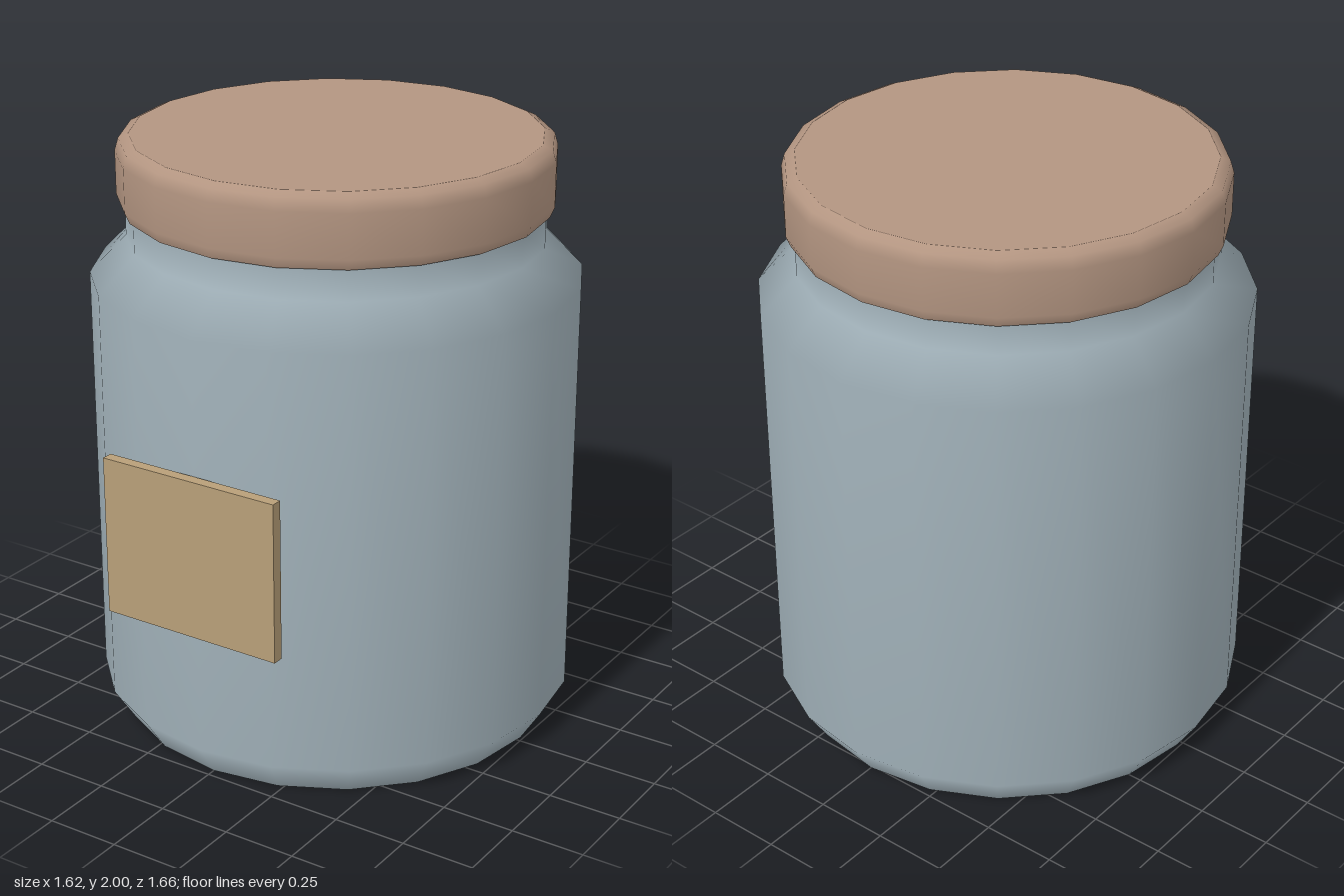
import * as THREE from 'three';

const SIDES = 20;

function material(name, color) {
  const m = new THREE.MeshStandardMaterial({ color });
  m.name = name;
  return m;
}

// Each profile is turned separately, so edges between profiles stay sharp.
function turnedPart(name, mat, profiles) {
  const part = new THREE.Group();
  part.name = name;
  profiles.forEach((profile, i) => {
    const points = profile.map(([r, y]) => new THREE.Vector2(r, y));
    const mesh = new THREE.Mesh(new THREE.LatheGeometry(points, SIDES), mat);
    mesh.name = `${name}Surface${i + 1}`;
    part.add(mesh);
  });
  part.position.z = -0.02;
  return part;
}

export function createModel() {
  const glass = material('blue grey glass', 0xa0b0b8);
  const wood = material('brown lid', 0xb39581);
  const paper = material('tan paper', 0xb89f78);

  const model = new THREE.Group();
  model.name = 'jar';

  // Body: flat base, chamfered foot, straight wall, sloped shoulder and neck
  model.add(turnedPart('body', glass, [
    [[0, 0], [0.74, 0]],
    [[0.74, 0], [0.81, 0.11], [0.81, 1.535], [0.688, 1.66], [0.688, 1.78]],
  ]));

  // Lid: flat underside, rounded rim and flat top
  model.add(turnedPart('lid', wood, [
    [[0, 1.765], [0.7, 1.765]],
    [[0.7, 1.765], [0.715, 1.8], [0.715, 1.945], [0.703, 1.985], [0.67, 2]],
    [[0.67, 2], [0, 2]],
  ]));

  // Label standing on the front of the body
  const label = new THREE.Mesh(new THREE.BoxGeometry(0.65, 0.54, 0.038), paper);
  label.name = 'label';
  label.position.set(0, 0.815, 0.811);
  model.add(label);

  return model;
}
